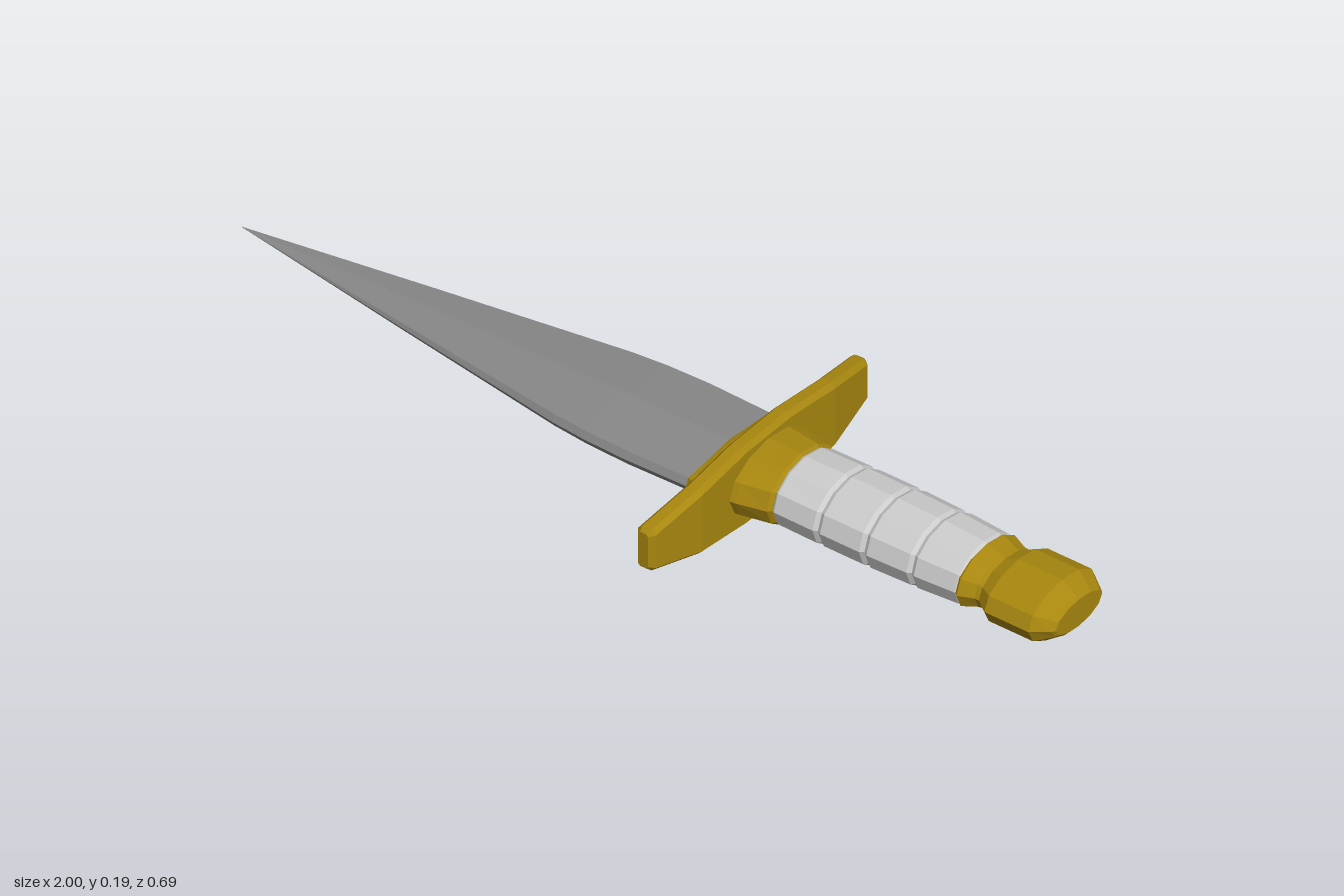
import * as THREE from 'three';

const CY = 0.097; // height of the long axis
const mat = (color, flatShading = true) => new THREE.MeshStandardMaterial({ color, flatShading });
const steel = mat(0x888888), gold = mat(0xa8870f), wrap = mat(0xcccccc);

// Joins rings of [x, y, z] points, each running clockwise as seen from the far end, and caps both ends
function loft(name, rings, material) {
  const pos = [], n = rings[0].length;
  const tri = (a, b, c) => pos.push(...a, ...b, ...c);
  const centre = r => [0, 1, 2].map(k => r.reduce((s, p) => s + p[k], 0) / n);
  const first = rings[0], last = rings[rings.length - 1];
  for (let j = 0; j < n; j++) {
    const k = (j + 1) % n;
    for (let i = 0; i < rings.length - 1; i++) {
      const a = rings[i], b = rings[i + 1];
      tri(a[j], b[j], a[k]);
      tri(b[j], b[k], a[k]);
    }
    tri(centre(first), first[j], first[k]);
    tri(centre(last), last[k], last[j]);
  }
  const geo = new THREE.BufferGeometry();
  geo.setAttribute('position', new THREE.Float32BufferAttribute(pos, 3));
  geo.computeVertexNormals();
  const mesh = new THREE.Mesh(geo, material);
  mesh.name = name;
  return mesh;
}

// Twelve-sided oval ring across the x axis
const oval = ([x, rz, ry]) => Array.from({ length: 12 }, (_, i) => {
  const t = i * Math.PI / 6;
  return [x, CY + ry * Math.sin(t), rz * Math.cos(t)];
});

// Blade section: central ridge, gently sloped faces and narrow edge bevels
const bladeRing = ([x, w, h]) => [
  [1, 0], [0.94, 0.55], [0, 1], [-0.94, 0.55], [-1, 0], [-0.94, -0.55], [0, -1], [0.94, -0.55],
].map(([z, y]) => [x, CY + y * h, z * w]);

// Guard section: chamfered rectangle across the z axis
const guardRing = ([z, x, t, h, c]) => [
  [t, h - c], [t, c - h], [t - c, -h], [c - t, -h], [-t, c - h], [-t, h - c], [c - t, h], [t - c, h],
].map(([dx, dy]) => [x + dx, CY + dy, z]);

export function createModel() {
  const model = new THREE.Group();
  model.name = 'dagger';

  // Blade and the sleeve that holds it
  model.add(loft('blade', [
    [-1, 0.0005, 0.0005], [-0.58, 0.066, 0.014], [-0.16, 0.13, 0.025],
    [-0.08, 0.137, 0.027], [0.02, 0.14, 0.028], [0.2, 0.135, 0.028],
  ].map(bladeRing), steel));
  model.add(loft('bladeSleeve', [[0.165, 0.139, 0.03], [0.175, 0.143, 0.034], [0.23, 0.143, 0.034]].map(bladeRing), gold));

  // Cross guard, swept towards the blade at both ends
  const half = [
    [0.07, 0.238, 0.021, 0.094, 0.01], [0.21, 0.238, 0.021, 0.077, 0.01],
    [0.335, 0.221, 0.021, 0.049, 0.01], [0.345, 0.219, 0.012, 0.041, 0.005],
  ];
  const mirrored = half.map(([z, ...rest]) => [-z, ...rest]).reverse();
  model.add(loft('guard', [...mirrored, ...half].map(guardRing), gold));

  // Collar between guard and grip
  model.add(loft('collar', [[0.24, 0.127, 0.077], [0.27, 0.123, 0.076], [0.335, 0.107, 0.075], [0.342, 0.1, 0.07]].map(oval), gold));

  // Grip: four swellings parted by grooves
  const rz = [0.101, 0.102, 0.102, 0.099, 0.093], ry = [0.073, 0.075, 0.075, 0.073, 0.068];
  const grip = new THREE.Group();
  grip.name = 'grip';
  for (let i = 0; i < 4; i++) {
    const x0 = 0.338 + i * 0.111, x1 = x0 + 0.111;
    grip.add(loft('gripSegment', [
      [x0, rz[i] * 0.94, ry[i] * 0.94], [x0 + 0.009, rz[i], ry[i]],
      [x1 - 0.009, rz[i + 1], ry[i + 1]], [x1, rz[i + 1] * 0.94, ry[i + 1] * 0.94],
    ].map(oval), wrap));
  }
  model.add(grip);

  // Pommel with a pinched neck
  model.add(loft('pommel', [
    [0.776, 0.094, 0.062], [0.782, 0.099, 0.065], [0.815, 0.085, 0.053], [0.825, 0.085, 0.05],
    [0.855, 0.107, 0.061], [0.96, 0.107, 0.061], [0.995, 0.08, 0.037], [1, 0.073, 0.032],
  ].map(oval), gold));

  return model;
}
